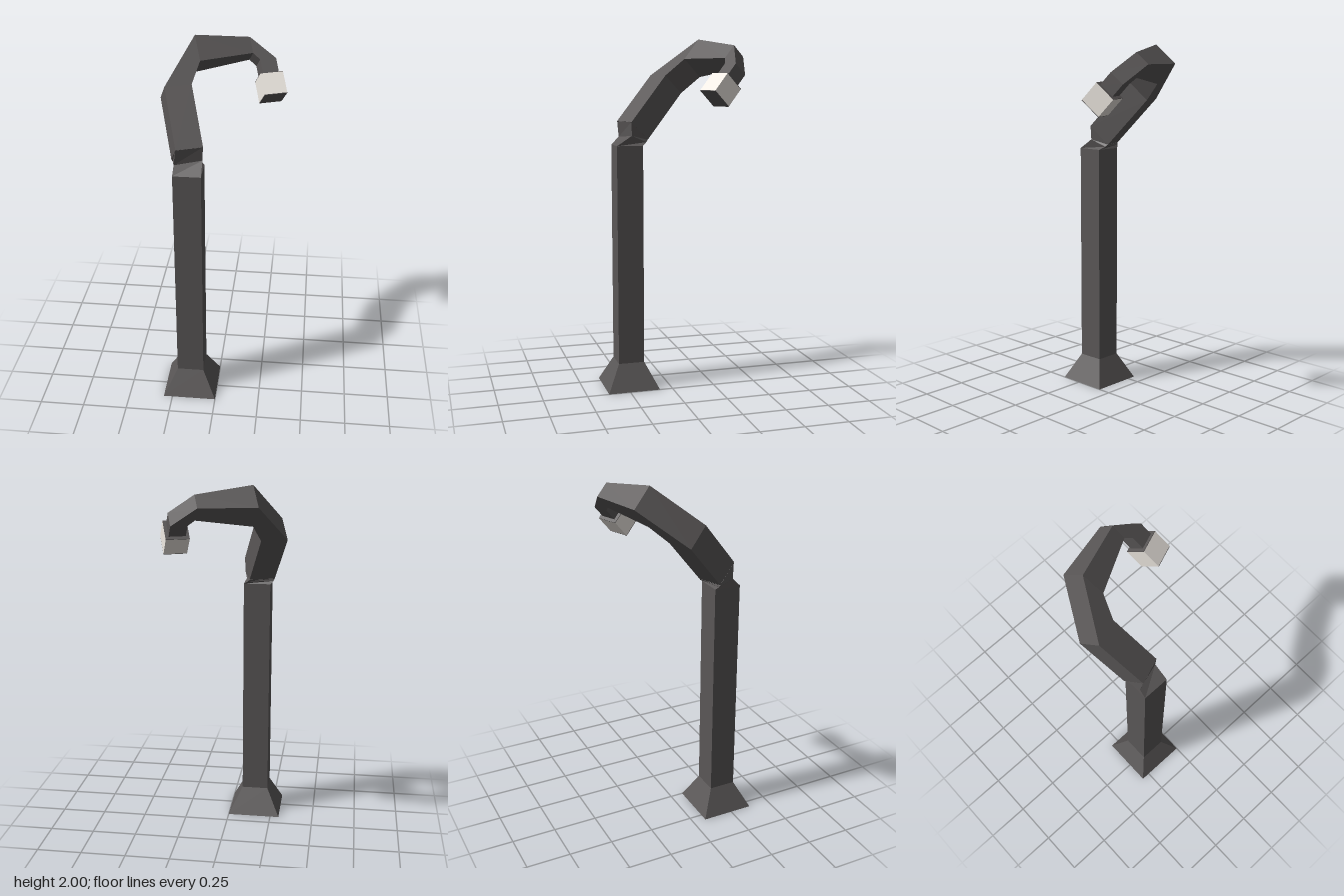
import * as THREE from 'three';

const darkMetal = new THREE.MeshStandardMaterial({ color: 0x5a5757, flatShading: true });
const lampGlow = new THREE.MeshStandardMaterial({ color: 0xf0ebe4, flatShading: true });

// Skins a stack of four-cornered rings and closes both ends.
// Corner order: front -x, front +x, back +x, back -x.
function loft(name, rings) {
  const pos = [];
  const quad = (a, b, c, d) => pos.push(...a, ...b, ...c, ...a, ...c, ...d);
  for (let r = 0; r < rings.length - 1; r++) {
    const lo = rings[r], hi = rings[r + 1];
    for (let i = 0; i < 4; i++) {
      const j = (i + 1) % 4;
      quad(lo[i], lo[j], hi[j], hi[i]);
    }
  }
  const first = rings[0], last = rings[rings.length - 1];
  quad(first[3], first[2], first[1], first[0]);
  quad(last[0], last[1], last[2], last[3]);
  const geometry = new THREE.BufferGeometry();
  geometry.setAttribute('position', new THREE.Float32BufferAttribute(pos, 3));
  geometry.computeVertexNormals();
  const mesh = new THREE.Mesh(geometry, darkMetal);
  mesh.name = name;
  return mesh;
}

// Level square ring of the post
function squareRing(y, h) {
  const x = -0.15, z = 0.225;
  return [[x - h, y, z + h], [x + h, y, z + h], [x + h, y, z - h], [x - h, y, z - h]];
}

// Ring of the arm, from its outer and inner edge and half its depth
function armRing([xo, yo, xi, yi, d]) {
  return [[xo, yo, d], [xi, yi, d], [xi, yi, -d], [xo, yo, -d]];
}

function box(name, w, h, d, y, material) {
  const mesh = new THREE.Mesh(new THREE.BoxGeometry(w, h, d), material);
  mesh.name = name;
  mesh.position.y = y;
  return mesh;
}

export function createModel() {
  const model = new THREE.Group();
  model.name = 'streetLamp';

  // Flared foot and straight post
  model.add(loft('foot', [squareRing(0, 0.15), squareRing(0.15, 0.075)]));
  model.add(loft('post', [squareRing(0.15, 0.075), squareRing(1.407, 0.075)]));

  // Twisted collar joining the post to the tilted arm
  model.add(loft('collar', [
    squareRing(1.407, 0.075),
    [[-0.222, 1.45, 0.257], [-0.077, 1.463, 0.214], [-0.1, 1.425, 0.125], [-0.242, 1.425, 0.161]],
    [[-0.209, 1.541, 0.268], [-0.073, 1.541, 0.216], [-0.112, 1.437, 0.114], [-0.248, 1.437, 0.166]],
  ]));

  // Arm and lamp share one leaning, turned plane
  const head = new THREE.Group();
  head.name = 'head';
  head.position.set(-0.16, 1.489, 0.191);
  head.rotation.order = 'YXZ';
  head.rotation.set(THREE.MathUtils.degToRad(-42.5), THREE.MathUtils.degToRad(21), 0);
  model.add(head);

  // Hooked arm, thinning towards the lamp
  head.add(loft('arm', [
    [-0.073, 0, 0.073, 0, 0.075],
    [-0.073, 0.348, 0.073, 0.348, 0.075],
    [0.138, 0.622, 0.14, 0.473, 0.075],
    [0.444, 0.596, 0.444, 0.502, 0.045],
    [0.566, 0.461, 0.476, 0.461, 0.045],
    [0.566, 0.375, 0.476, 0.375, 0.045],
  ].map(armRing)));

  // Cube lamp with dark plates above and below
  const lamp = new THREE.Group();
  lamp.name = 'lamp';
  lamp.position.set(0.52, 0.315, 0);
  lamp.add(box('lampGlass', 0.126, 0.12, 0.126, 0, lampGlow));
  for (const [name, y] of [['lampCap', 0.0615], ['lampBottom', -0.0615]]) {
    lamp.add(box(name, 0.126, 0.003, 0.126, y, darkMetal));
  }
  head.add(lamp);

  return model;
}
